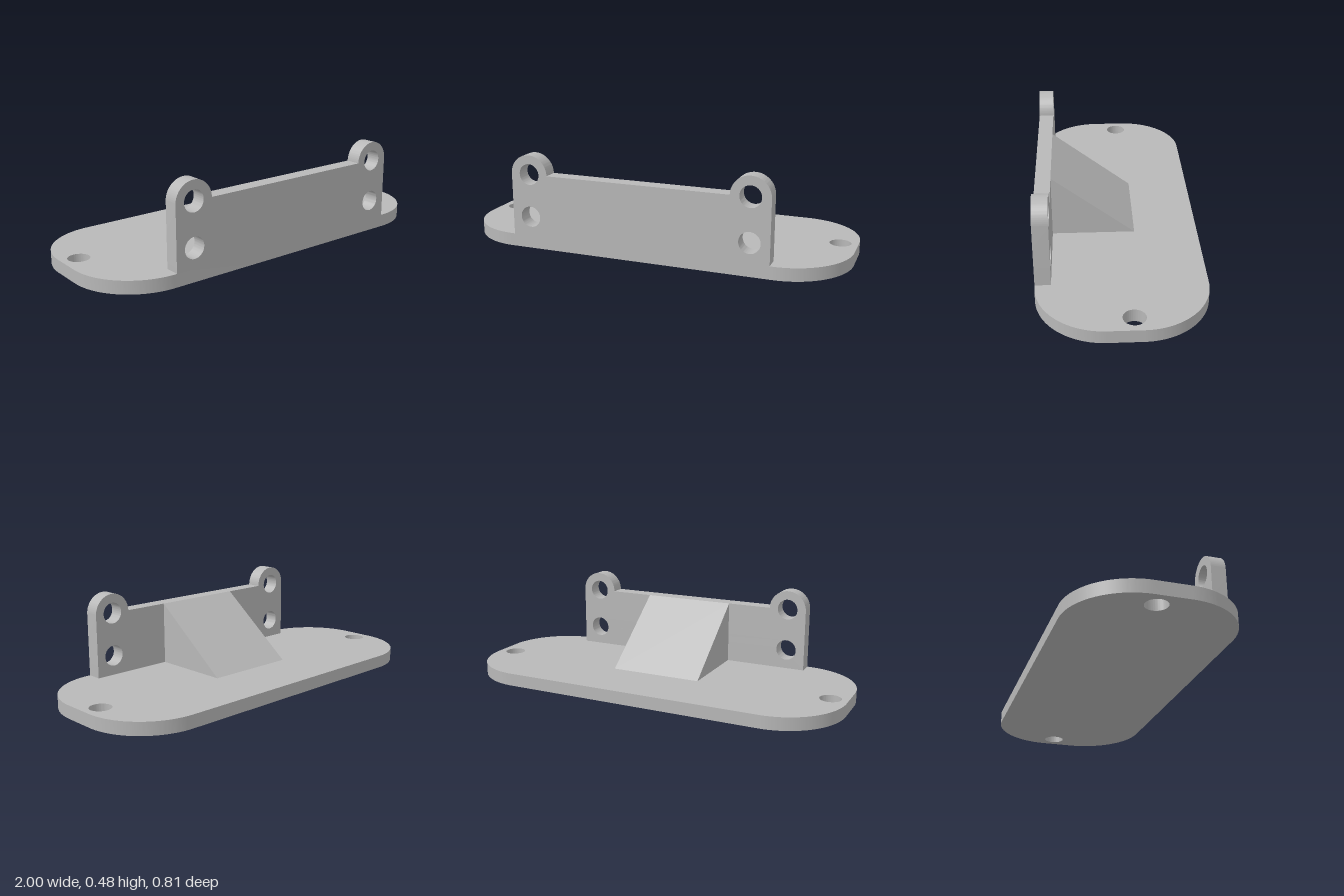
import * as THREE from 'three';
import { toCreasedNormals } from 'three/addons/utils/BufferGeometryUtils.js';

const THICK = 0.065, DEPTH = 0.403;
const WALL_BACK = 0.327, WALL_TOP = 0.384;
const EAR_X = 0.568, EAR_R = 0.098, HOLE_R = 0.053;

function addHole(shape, x, y) {
  const hole = new THREE.Path();
  hole.absarc(x, y, HOLE_R, 0, Math.PI * 2, true);
  shape.holes.push(hole);
}

// Extrude along +z, smooth on the arcs and sharp at the edges
function extrude(shape, depth) {
  const geometry = new THREE.ExtrudeGeometry(shape, { depth, bevelEnabled: false, curveSegments: 32 });
  return toCreasedNormals(geometry, 0.5);
}

export function createModel() {
  const model = new THREE.Group();
  model.name = 'mountingBracket';
  const grey = new THREE.MeshStandardMaterial({ color: 0xb8b8b8 });
  grey.name = 'grey';

  const add = (name, geometry) => {
    const mesh = new THREE.Mesh(geometry, grey);
    mesh.name = name;
    model.add(mesh);
  };

  // Base plate: rounded rectangle with a screw hole at each end
  const r = 0.322, cx = 1 - r, cy = DEPTH - r;
  const plate = new THREE.Shape();
  plate.absarc(cx, cy, r, 0, Math.PI / 2);
  plate.absarc(-cx, cy, r, Math.PI / 2, Math.PI);
  plate.absarc(-cx, -cy, r, Math.PI, Math.PI * 1.5);
  plate.absarc(cx, -cy, r, Math.PI * 1.5, Math.PI * 2);
  plate.closePath();
  for (const side of [-1, 1]) addHole(plate, side * 0.913, 0.043);
  add('basePlate', extrude(plate, THICK).rotateX(-Math.PI / 2));

  // Upright wall with a rounded ear on each side
  const wall = new THREE.Shape();
  wall.moveTo(-EAR_X - EAR_R, THICK);
  wall.lineTo(EAR_X + EAR_R, THICK);
  wall.absarc(EAR_X, WALL_TOP, EAR_R, 0, Math.PI);
  wall.absarc(-EAR_X, WALL_TOP, EAR_R, 0, Math.PI);
  wall.closePath();
  for (const side of [-1, 1]) {
    for (const y of [0.165, WALL_TOP]) addHole(wall, side * EAR_X, y);
  }
  add('uprightWall', extrude(wall, DEPTH - WALL_BACK).translate(0, 0, WALL_BACK));

  // Wedge bracing the wall from behind; drawn in (-z, y), extruded across x
  const wedge = new THREE.Shape();
  wedge.moveTo(-WALL_BACK, THICK);
  wedge.lineTo(0.085, THICK);
  wedge.lineTo(-WALL_BACK, WALL_TOP);
  wedge.closePath();
  add('braceWedge', extrude(wedge, 0.48).translate(0, 0, -0.24).rotateY(Math.PI / 2));

  return model;
}
